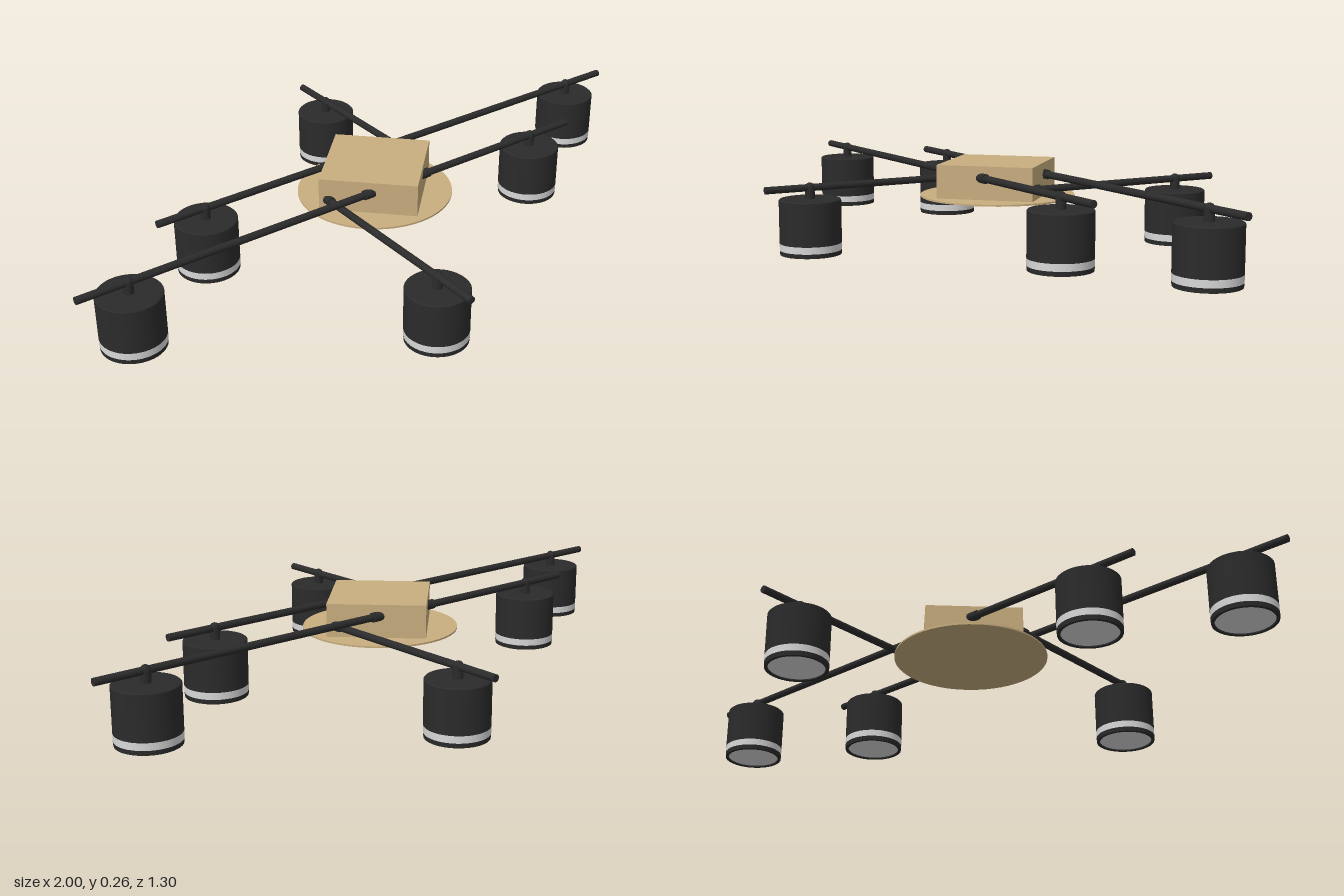
import * as THREE from 'three';

const black = new THREE.MeshStandardMaterial({ name: 'matte black', color: 0x2b2b2b });
const brass = new THREE.MeshStandardMaterial({ name: 'brushed brass', color: 0xc9ae7f });
const white = new THREE.MeshStandardMaterial({ name: 'frosted white', color: 0xd8d8d8 });

function add(parent, name, geometry, material, x = 0, y = 0, z = 0) {
  const mesh = new THREE.Mesh(geometry, material);
  mesh.name = name;
  mesh.position.set(x, y, z);
  parent.add(mesh);
  return mesh;
}

// lathe with hard edges: each profile segment becomes its own strip
function turned(parent, name, points, material) {
  for (let i = 0; i < points.length - 1; i++) {
    const pair = [points[i], points[i + 1]].map(([r, y]) => new THREE.Vector2(r, y));
    add(parent, name, new THREE.LatheGeometry(pair, 48), material);
  }
}

// straight round bar between two points
function bar(parent, name, from, to, radius, material) {
  const a = new THREE.Vector3(...from), b = new THREE.Vector3(...to);
  const mesh = add(parent, name, new THREE.CylinderGeometry(radius, radius, a.distanceTo(b), 20), material);
  mesh.position.copy(a).add(b).multiplyScalar(0.5);
  mesh.quaternion.setFromUnitVectors(new THREE.Vector3(0, 1, 0), b.sub(a).normalize());
  return mesh;
}

// spot lamp hanging from a rod whose centre is at height rodY
function lamp(x, rodY, z) {
  const g = new THREE.Group();
  g.name = 'spotLamp';
  g.position.set(x, rodY - 0.192, z);
  // shade above the light ring
  turned(g, 'shade', [[0.089, 0.033], [0.089, 0.157], [0.086, 0.16], [0, 0.16]], black);
  // glowing ring and lower rim with a recessed diffuser
  turned(g, 'lightRing', [[0.089, 0.013], [0.089, 0.033]], white);
  turned(g, 'lowerRim', [[0.079, 0.006], [0.079, 0], [0.088, 0], [0.089, 0.013]], black);
  const diffuser = add(g, 'diffuser', new THREE.CircleGeometry(0.08, 48), white, 0, 0.004, 0);
  diffuser.rotation.x = Math.PI / 2;
  // stem with rounded cap around the rod
  add(g, 'stem', new THREE.CylinderGeometry(0.014, 0.014, 0.034, 20), black, 0, 0.176, 0);
  add(g, 'stemCap', new THREE.SphereGeometry(0.014, 20, 12), black, 0, 0.193, 0);
  return g;
}

export function createModel() {
  const model = new THREE.Group();
  model.name = 'ceilingLight';

  // central housing turned by 45 degrees, on a thin round plate
  const side = 0.4 / Math.SQRT2;
  add(model, 'housing', new THREE.BoxGeometry(side, 0.098, side), brass, 0, 0.21, 0).rotation.y = Math.PI / 4;
  add(model, 'roundPlate', new THREE.CylinderGeometry(0.226, 0.226, 0.005, 64), brass, 0, 0.16, -0.002);

  // two half-turn copies of the arms
  const highY = 0.225, lowY = 0.194;
  for (const s of [1, -1]) {
    const z = 0.103 * s;
    bar(model, 'longRod', [-s, highY, z], [0.66 * s, highY, z], 0.0105, black);
    for (const x of [-0.1, 0.1]) {
      bar(model, 'rodCollar', [x - 0.016, highY, z], [x + 0.016, highY, z], 0.014, black);
    }
    bar(model, 'shortRod', [-0.18 * s, lowY, 0.01 * s], [-0.18 * s, lowY, 0.65 * s], 0.0105, black);
    bar(model, 'rodCollar', [-0.18 * s, lowY, 0.012 * s], [-0.18 * s, lowY, 0.036 * s], 0.014, black);

    model.add(lamp(-0.855 * s, highY, z));
    model.add(lamp(0.51 * s, highY, z));
    model.add(lamp(-0.18 * s, lowY, 0.515 * s));
  }
  return model;
}
